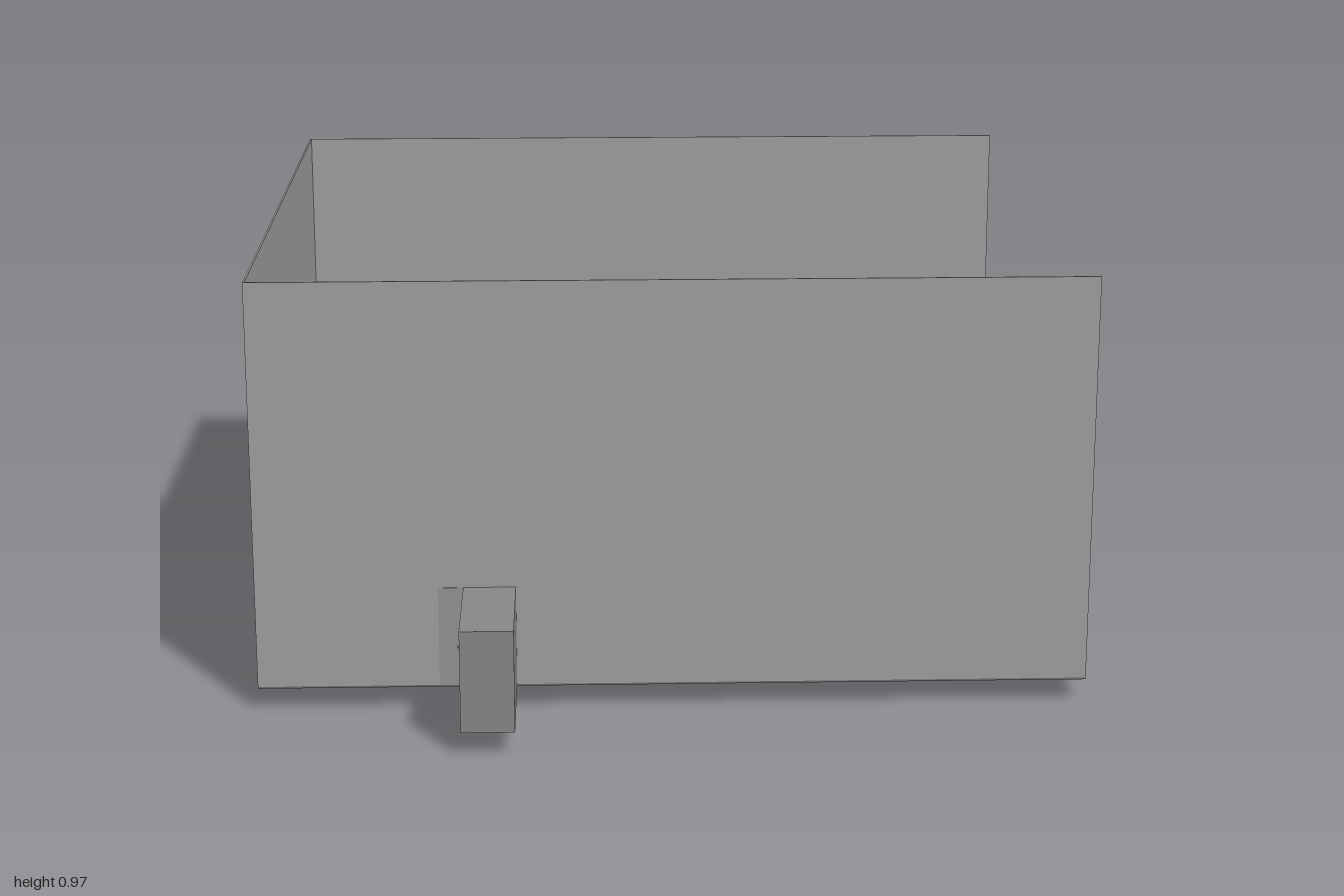
import * as THREE from 'three';
import { RoundedBoxGeometry } from 'three/addons/geometries/RoundedBoxGeometry.js';

export function createModel() {
  const root = new THREE.Group();
  root.name = 'room';
  const paint = (color) => new THREE.MeshStandardMaterial({ color, side: THREE.DoubleSide });
  const wall = paint(0xa0a0a0), ground = paint(0x6b6b6b), plate = paint(0x636363);
  const partition = paint(0xa6a6a6), block = paint(0x888888), panel = paint(0x949494);
  const unit = paint(0x989898), dark = paint(0x5e5e5e);

  const add = (name, mat, geometry, parent = root) => {
    const mesh = new THREE.Mesh(geometry, mat);
    mesh.name = name;
    parent.add(mesh);
    return mesh;
  };
  // Box given by its lower and upper limits on each axis
  const box = (name, mat, [x0, x1], [y0, y1], [z0, z1], parent) => {
    const mesh = add(name, mat, new THREE.BoxGeometry(x1 - x0, y1 - y0, z1 - z0), parent);
    mesh.position.set((x0 + x1) / 2, (y0 + y1) / 2, (z0 + z1) / 2);
  };
  // Round bar between two points
  const bar = (name, mat, a, b, radius, parent) => {
    const from = new THREE.Vector3(...a), to = new THREE.Vector3(...b);
    const mesh = add(name, mat, new THREE.CylinderGeometry(radius, radius, from.distanceTo(to), 16), parent);
    mesh.position.copy(from).add(to).multiplyScalar(0.5);
    mesh.quaternion.setFromUnitVectors(new THREE.Vector3(0, 1, 0), to.clone().sub(from).normalize());
  };

  // Room shell, open on the +x side and on top
  const W = 0.915, F = 0.715, B = -1, Y = 0.055, H = 0.967, T = 0.004;
  box('floor', ground, [-W, W], [Y - T, Y], [B, F]);
  box('frontWall', wall, [-W, W], [Y, H], [F - T, F]);
  box('backWall', wall, [-W, W], [Y, H], [B, B + T]);
  box('sideWall', wall, [-W, -W + T], [Y, H], [B, F]);

  // Entrance: flat door panel, frame strip, projecting block and handle
  box('doorPanel', panel, [-0.515, -0.345], [Y, 0.281], [F, F + 0.001]);
  box('doorFrame', block, [-0.46, -0.345], [Y, 0.281], [F, 0.728]);
  box('doorBlock', block, [-0.46, -0.345], [Y, 0.281], [0.728, 1]);
  bar('doorHandle', dark, [-0.473, 0.155, 0.745], [-0.46, 0.155, 0.745], 0.004);

  // Inner enclosure of four thin walls
  const pen = new THREE.Group();
  pen.name = 'enclosure';
  root.add(pen);
  const t = 0.008, ex = [-0.845, -0.413], ez = [-0.89, -0.056], ey = [Y, 0.52];
  box('enclosureLeft', partition, [ex[1] - t, ex[1]], ey, ez, pen);
  box('enclosureRight', partition, [ex[0], ex[0] + t], ey, ez, pen);
  box('enclosureFront', partition, [ex[0] + t, ex[1] - t], ey, [ez[1] - t, ez[1]], pen);
  box('enclosureBack', partition, [ex[0] + t, ex[1] - t], ey, [ez[0], ez[0] + t], pen);

  // Floor plate with two pipes passing down through the floor
  box('floorPlate', plate, [-0.69, -0.578], [Y, Y + 0.003], [-0.545, -0.312]);
  for (const z of [-0.37, -0.485]) bar('floorPipe', dark, [-0.633, 0, z], [-0.633, Y + 0.015, z], 0.011);

  // Wall stations: flat panel, chamfered unit, dial and lever
  const profile = new THREE.Shape();
  [[-0.035, -0.025], [-0.015, -0.043], [0.035, -0.043], [0.035, 0.022], [0.022, 0.036], [-0.035, 0.036]]
    .forEach(([z, y], i) => (i ? profile.lineTo(z, y) : profile.moveTo(z, y)));
  for (const z of [0.597, 0.437, 0.275]) {
    const station = new THREE.Group();
    station.name = 'wallStation';
    station.position.set(-W + T, 0.25, z);
    root.add(station);
    box('wallPanel', panel, [0, 0.001], [0.095, 0.25], [-0.067, 0.067], station);
    const body = add('stationBody', unit, new THREE.ExtrudeGeometry(profile, { depth: 0.055, bevelEnabled: false }), station);
    body.rotation.y = Math.PI / 2;
    bar('stationDial', unit, [0.018, 0.036, 0.002], [0.018, 0.046, 0.002], 0.011, station);
    bar('stationLever', dark, [0.03, 0, -0.03], [0.035, 0.035, -0.064], 0.006, station);
    const knob = add('leverKnob', dark, new THREE.SphereGeometry(0.009, 16, 10), station);
    knob.position.set(0.035, 0.037, -0.064);
  }

  // Swivelling wall unit: mount, two-part arm and rounded head
  box('armMount', dark, [-W, -W + 0.012], [0.25, 0.295], [-0.005, 0.015]);
  bar('armInner', dark, [-W, 0.272, 0.004], [-0.815, 0.272, 0.004], 0.005);
  bar('armOuter', dark, [-0.815, 0.272, 0.004], [-0.745, 0.272, 0.045], 0.005);
  const head = new THREE.Group();
  head.name = 'swivelHead';
  head.position.set(-0.736, 0.272, 0.053);
  head.rotation.y = -0.42;
  root.add(head);
  add('headBody', unit, new RoundedBoxGeometry(0.05, 0.075, 0.104, 3, 0.012), head);
  add('headScreen', panel, new RoundedBoxGeometry(0.004, 0.05, 0.055, 2, 0.002), head).position.set(0.026, 0, 0.01);

  return root;
}
